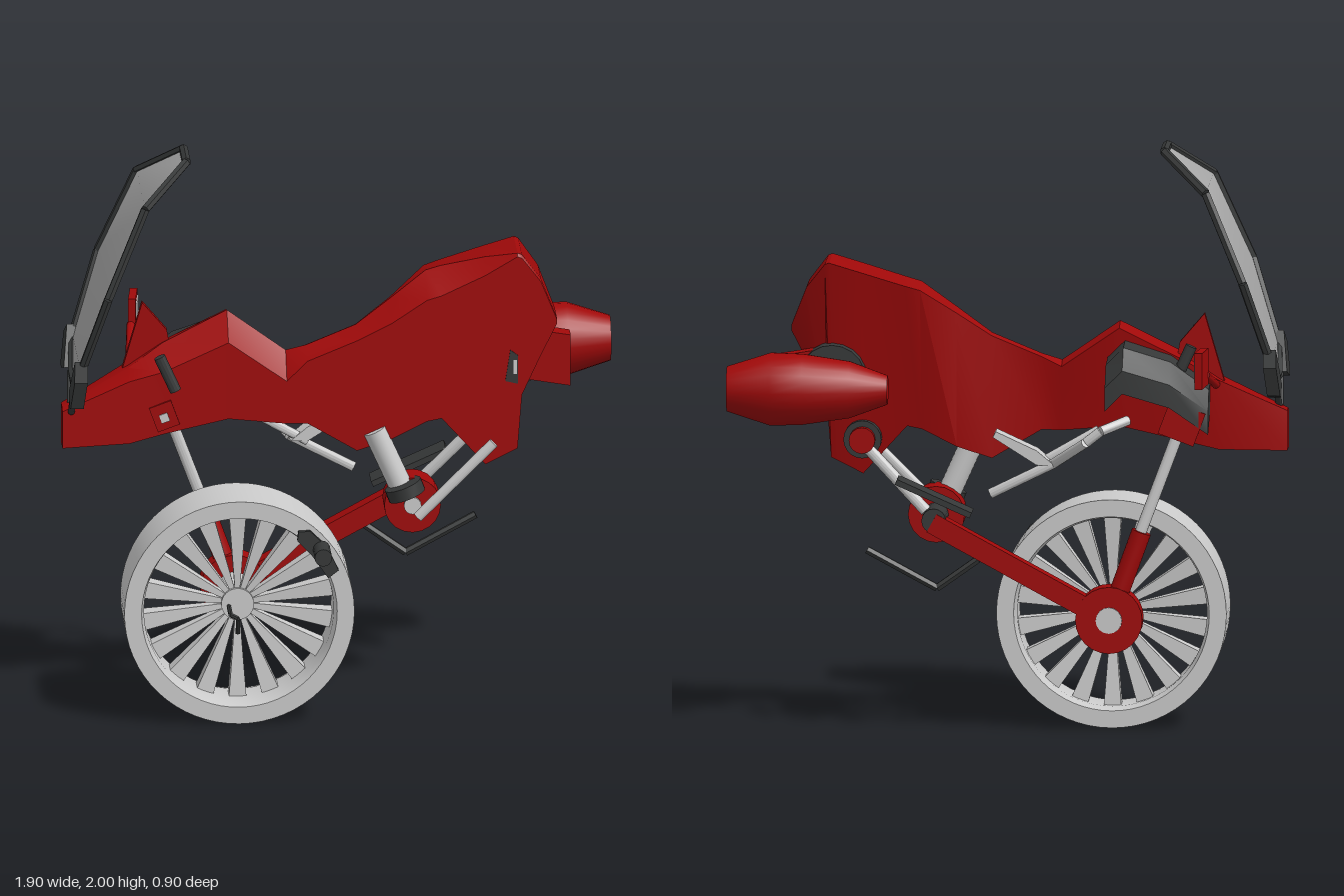
import * as THREE from 'three';
import { toCreasedNormals } from 'three/addons/utils/BufferGeometryUtils.js';

const mat = (color) => new THREE.MeshStandardMaterial({ color, side: THREE.DoubleSide });
const V = (p) => new THREE.Vector3(...p);
const V2 = (p) => new THREE.Vector2(...p);

export function createModel() {
  const model = new THREE.Group();
  const red = mat(0xa00909), grey = mat(0xcccccc), dark = mat(0x363838), glass = mat(0xaaaaaa);

  const add = (name, geo, m, pos = [0, 0, 0], rotZ = 0) => {
    const mesh = new THREE.Mesh(toCreasedNormals(geo, 0.55), m);
    mesh.name = name;
    mesh.position.set(...pos);
    mesh.rotation.z = rotZ;
    model.add(mesh);
    return mesh;
  };
  const box = (name, m, size, pos, rotZ) => add(name, new THREE.BoxGeometry(...size), m, pos, rotZ);
  // Cylinder between two points
  const bar = (name, m, a, b, r, sides = 16) => {
    const d = V(b).sub(V(a));
    const mesh = add(name, new THREE.CylinderGeometry(r, r, d.length(), sides), m);
    mesh.position.copy(V(a).add(V(b)).multiplyScalar(0.5));
    mesh.quaternion.setFromUnitVectors(new THREE.Vector3(0, 1, 0), d.normalize());
    return mesh;
  };
  const bars = (name, m, pts, r, sides) => {
    for (let i = 1; i < pts.length; i++) bar(name, m, pts[i - 1], pts[i], r, sides);
  };
  const plate = (name, m, pts, depth, pos, rotZ) =>
    add(name, new THREE.ExtrudeGeometry(new THREE.Shape(pts.map(V2)), { depth, bevelEnabled: false }), m, pos, rotZ);
  // Closed skin through equal-length rings of points
  const loft = (rings) => {
    const n = rings[0].length, idx = [];
    for (let i = 0; i < rings.length - 1; i++)
      for (let j = 0; j < n; j++) {
        const a = i * n + j, b = i * n + (j + 1) % n;
        idx.push(a, a + n, b, b, a + n, b + n);
      }
    const last = (rings.length - 1) * n;
    for (let j = 1; j < n - 1; j++) idx.push(0, j, j + 1, last, last + j + 1, last + j);
    const g = new THREE.BufferGeometry();
    g.setAttribute('position', new THREE.Float32BufferAttribute(rings.flat(2), 3));
    g.setIndex(idx);
    return g;
  };

  // Body fairing: x, bottom, top, bevel, front z, ridge z, upper back z, lower back z
  const stations = [
    [-0.95, 0.96, 1.10, 0.01, 0.13, 0.10, 0.04, 0.04],
    [-0.72, 0.97, 1.22, 0.03, 0.12, 0.05, -0.05, -0.02],
    [-0.60, 1.00, 1.30, 0.08, 0.11, 0.02, -0.06, -0.03],
    [-0.38, 1.05, 1.41, 0.09, 0.11, 0.01, -0.06, -0.03],
    [-0.18, 1.03, 1.27, 0.09, 0.11, 0.03, -0.02, 0.00],
    [-0.11, 1.03, 1.29, 0.04, 0.11, 0.04, 0.01, 0.01],
    [0.06, 0.93, 1.36, 0.04, 0.11, 0.04, 0.01, 0.01],
    [0.18, 0.97, 1.45, 0.07, 0.11, 0.03, -0.03, 0.00],
    [0.30, 1.03, 1.54, 0.08, 0.11, 0.01, -0.11, 0.00],
    [0.35, 1.04, 1.555, 0.08, 0.11, 0.01, -0.12, 0.00],
    [0.50, 0.875, 1.595, 0.05, 0.11, 0.05, -0.125, 0.00],
    [0.61, 0.93, 1.62, 0.01, 0.11, 0.10, -0.125, 0.00],
    [0.625, 1.12, 1.615, 0.01, 0.11, 0.10, -0.12, 0.00],
    [0.69, 1.26, 1.53, 0.01, 0.11, 0.10, -0.08, -0.01],
    [0.745, 1.37, 1.39, 0.005, 0.11, 0.10, -0.03, -0.02],
  ];
  add('bodyFairing', loft(stations.map(([x, b, t, v, zf, zr, zb, zl]) => [
    [x, b, zf], [x, t - v, zf], [x, t, zr], [x, t - v * 0.2, zb], [x, b, zl],
  ])), red);
  plate('cowlFin', red, [[-0.74, 1.2], [-0.67, 1.44], [-0.585, 1.34], [-0.57, 1.25]], 0.03, [0, 0, -0.02]);
  box('indicator', red, [0.08, 0.09, 0.03], [-0.6, 1.065, 0.105], 0.35);
  box('indicatorLens', grey, [0.03, 0.03, 0.01], [-0.6, 1.06, 0.12], 0.35);
  plate('sideVent', dark, [[-0.022, -0.05], [0.022, -0.06], [0.022, 0.04], [-0.005, 0.06]], 0.006, [0.59, 1.22, 0.108]);
  box('sideVentBar', grey, [0.012, 0.05, 0.008], [0.602, 1.22, 0.112]);

  // Wheel: wide rim and flared blade spokes
  const cx = -0.35, cy = 0.397;
  const spin = (name, m, pts, sides = 48) =>
    add(name, new THREE.LatheGeometry(pts.map(V2), sides).rotateX(Math.PI / 2), m, [cx, cy, 0]);
  spin('tyre', grey, [[0.335, -0.005], [0.394, -0.005], [0.394, 0.24], [0.335, 0.24]], 64);
  spin('rimLining', grey, [[0.335, 0.24], [0.325, 0.2], [0.325, 0.04], [0.335, -0.005]], 64);
  const blade = [[0.03, 0.007, 0.015], [0.328, 0.03, 0.035]].map(([r, w, d]) => [
    [r, -w, 0.1 + d], [r, w, 0.1 + d], [r, w, 0.1 - d], [r, -w, 0.1 - d],
  ]);
  for (let i = 0; i < 18; i++) add('spoke', loft(blade), grey, [cx, cy, 0], ((i + 0.5) / 9) * Math.PI);
  bar('hub', grey, [cx, cy, -0.1], [cx, cy, 0.13], 0.056, 24);
  bar('axle', grey, [cx, cy, -0.172], [cx, cy, -0.1], 0.045);
  spin('hubHousing', red, [[0.045, -0.168], [0.115, -0.168], [0.115, -0.08], [0.045, -0.08]], 24);
  bars('wheelLever', dark, [[cx - 0.03, 0.39, 0.13], [cx - 0.03, 0.39, 0.24], [cx - 0.005, 0.38, 0.25], [cx - 0.005, 0.32, 0.22]], 0.008, 6);

  // Fork and its clamp
  bar('forkLower', red, [cx, cy, -0.13], [-0.46, 0.7, -0.13], 0.034);
  bar('forkUpper', grey, [-0.45, 0.68, -0.13], [-0.6, 1.08, -0.11], 0.02);
  box('forkClamp', red, [0.13, 0.12, 0.13], [-0.6, 1.08, -0.11], 0.36);
  box('forkYoke', red, [0.1, 0.06, 0.15], [-0.62, 1.14, -0.06], 0.36);

  // Swing arm, drum and shock absorber
  box('swingArm', red, [0.7, 0.07, 0.07], [-0.05, 0.56, -0.13], 0.5);
  bar('drum', red, [0.25, 0.735, 0], [0.25, 0.735, 0.115], 0.097, 20);
  bar('drumCap', grey, [0.25, 0.735, 0.1], [0.25, 0.735, 0.125], 0.03);
  bar('pivotShaft', dark, [0.25, 0.735, -0.16], [0.25, 0.735, 0.01], 0.042);
  bar('shockBody', grey, [0.21, 0.8, 0.1], [0.12, 1.0, 0.1], 0.04, 20);
  bar('shockCollar', dark, [0.23, 0.775, 0.13], [0.215, 0.815, 0.13], 0.065, 20);
  box('linkPlate', dark, [0.28, 0.02, 0.11], [0.25, 0.815, -0.13], 0.42);
  bar('rearStrut', grey, [0.28, 0.76, -0.09], [0.5, 0.99, -0.05], 0.02);
  bar('strutRing', dark, [0.5, 1.0, -0.01], [0.5, 1.0, -0.06], 0.065, 20);
  bar('strutKnob', red, [0.5, 1.0, -0.04], [0.5, 1.0, -0.09], 0.045);
  bar('sideRod', grey, [0.26, 0.73, 0.25], [0.52, 0.99, 0.25], 0.018);
  bars('stand', dark, [[0.1, 0.6, -0.13], [0.24, 0.5, -0.13], [0.48, 0.63, -0.13]], 0.014, 6);

  // Foot peg outside the wheel
  plate('footPlate', dark, [[-0.02, -0.095], [0.025, -0.09], [0.035, 0], [0.015, 0.08], [-0.02, 0.1], [-0.04, 0.075], [-0.025, 0]], 0.018, [-0.08, 0.615, 0.253], 0.55);
  bar('footPeg', dark, [-0.07, 0.625, 0.26], [-0.07, 0.625, 0.375], 0.03);

  // Under-frame rails
  bars('frameRail', grey, [[-0.42, 1.1, -0.24], [-0.33, 1.07, -0.305], [-0.28, 1.03, -0.3], [-0.16, 0.93, -0.1], [0.06, 0.82, -0.08]], 0.017, 12);
  bar('frameBrace', grey, [-0.31, 1.04, -0.05], [-0.1, 0.92, -0.06], 0.016, 12);
  plate('frameBracket', grey, [[-0.16, 0.925], [-0.1, 0.925], [0.05, 1.02], [0.04, 1.04], [-0.1, 0.975]], 0.08, [0, 0, -0.12]);

  // Arched side shroud beside the tank
  const shroud = [[-0.69, 1.2, 0.1], [-0.56, 1.3, 0.16], [-0.4, 1.35, 0.18], [-0.34, 1.29, 0.18]];
  add('sideShroud', loft(shroud.map(([x, y, w]) => [
    [x, y - 0.1, -0.05], [x, y, -0.05], [x, y - 0.01, -0.05 - w * 0.65], [x, y - 0.08, -0.06 - w],
    [x, y - 0.16, -0.06 - w], [x, y - 0.08, -0.04 - w * 0.6],
  ])), dark);

  // Exhaust canister with mount
  const exhaust = new THREE.LatheGeometry([[0, 0.4], [0.05, 0.4], [0.098, 0.53], [0.122, 0.69], [0.126, 0.8], [0.078, 0.95], [0.05, 0.95], [0.045, 0.87], [0, 0.87]].map(V2), 24);
  add('exhaust', exhaust.rotateZ(-Math.PI / 2), red, [0, 1.205, -0.29]);
  plate('exhaustMount', red, [[0.62, 1.14], [0.8, 1.11], [0.8, 1.29], [0.62, 1.32]], 0.07, [0, 0, -0.1]);
  bar('mountRing', dark, [0.6, 1.22, -0.13], [0.6, 1.22, -0.05], 0.115, 20);
  for (const x of [0.62, 0.695, 0.77]) bar('mountPin', grey, [x, 1.2, -0.24], [x, 1.2, -0.08], 0.014, 12);

  // Windscreen: bent panel and dark rim, half outline as y, x, half-width
  const zc = 0.115;
  const half = [[1.2, -0.91, 0.1], [1.29, -0.9, 0.24], [1.57, -0.81, 0.315], [1.87, -0.68, 0.25], [1.99, -0.53, 0.085]];
  const rim = [1, -1].flatMap((s) => (s > 0 ? half : [...half].reverse()).map(([y, x, w]) => [x, y, zc + s * w]));
  const pane = new THREE.BufferGeometry(), tri = [];
  for (let i = 0; i < 4; i++) tri.push(i, i + 1, 9 - i, i + 1, 8 - i, 9 - i);
  pane.setAttribute('position', new THREE.Float32BufferAttribute(rim.flat(), 3));
  pane.setIndex(tri);
  add('windscreen', pane, glass);
  bars('windscreenRim', dark, [...rim, rim[0]], 0.016, 6);

  // Paired parts around the screen's centre plane
  for (const s of [1, -1]) {
    const z = (w) => zc + s * w;
    const guard = [[1.17, 0.26], [1.2, 0.15], [1.3, 0.22], [1.33, 0.24], [1.28, 0.335], [1.18, 0.3]];
    add('handGuard', loft([-0.93, -0.885].map((x) => guard.map(([y, w]) => [x + (y - 1.25) * 0.12, y, z(w)]))), dark);
    bar('screenStrut', dark, [-0.915, 1.2, z(0.11)], [-0.92, 1.09, z(0.02)], 0.012, 12);
    bar('gripBar', dark, [-0.63, 1.34, z(0.23)], [-0.575, 1.22, z(0.23)], 0.02, 12);
  }

  // Mirror on the far side
  bar('mirrorStalk', red, [-0.71, 1.2, -0.05], [-0.69, 1.27, -0.32], 0.015, 12);
  for (const [name, m, size, x] of [
    ['mirror', red, [0.026, 0.125, 0.14], -0.68],
    ['mirrorGlass', grey, [0.006, 0.085, 0.1], -0.665],
  ]) box(name, m, size, [x, 1.3, -0.38]).rotation.y = -0.1;

  return model;
}
